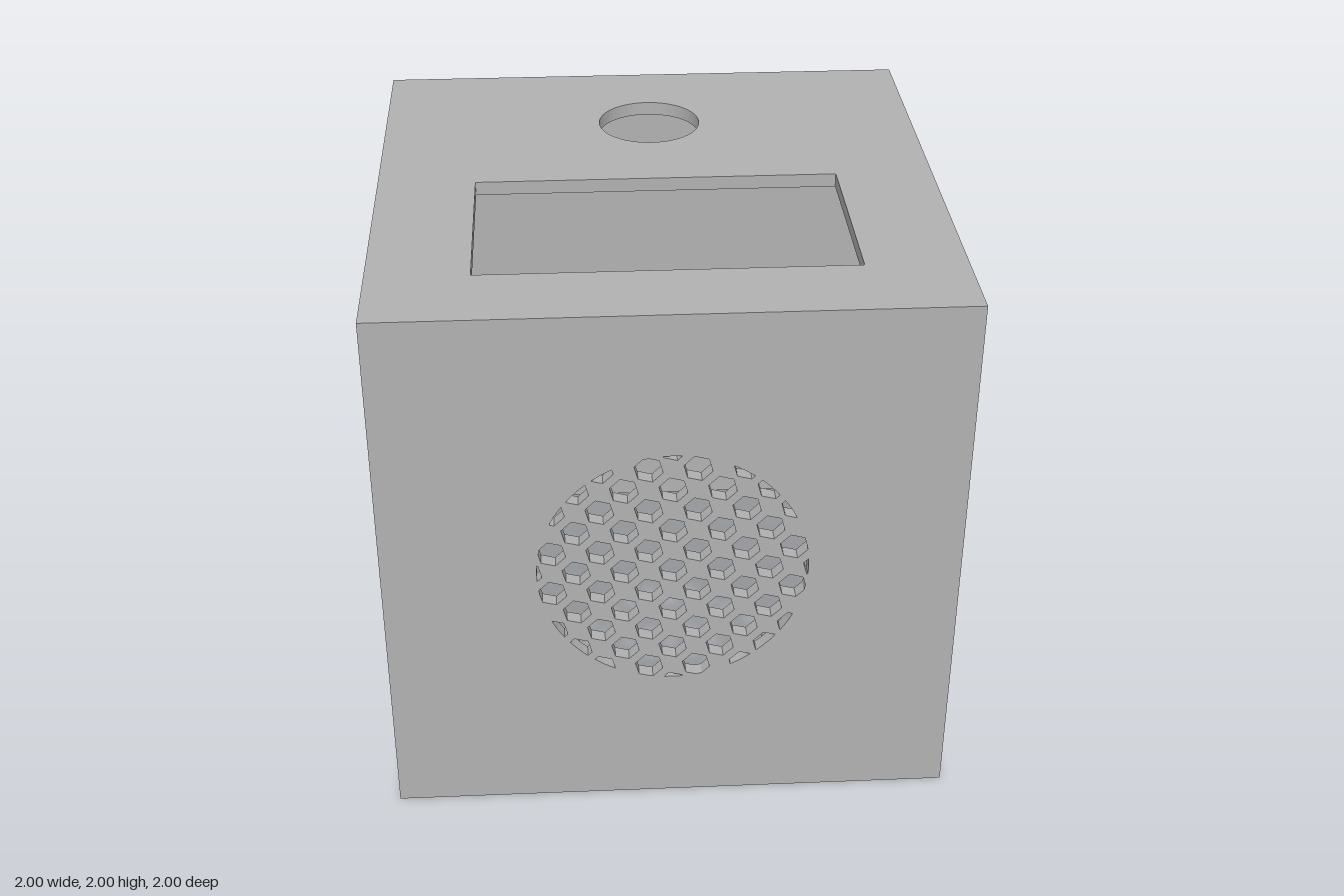
import * as THREE from 'three';

const T = 0.05; // wall thickness

const circle = (x, y, r) => new THREE.Path().absarc(x, y, r, 0, Math.PI * 2, true);
const polygon = (pts, Type = THREE.Path) => new Type(pts.map(([x, y]) => new THREE.Vector2(x, y)));
const rect = (x0, y0, x1, y1, Type) => polygon([[x0, y0], [x1, y0], [x1, y1], [x0, y1]], Type);

// Clip a convex polygon to a circle, treated as a many-sided polygon
function clipToCircle(pts, radius, sides = 64) {
  for (let i = 0; i < sides; i++) {
    const a = (i / sides) * Math.PI * 2, nx = Math.cos(a), ny = Math.sin(a);
    const dist = p => p[0] * nx + p[1] * ny - radius;
    const out = [];
    pts.forEach((p, k) => {
      const q = pts[(k + 1) % pts.length], dp = dist(p), dq = dist(q);
      if (dp <= 0) out.push(p);
      if (dp * dq < 0) {
        const s = dp / (dp - dq);
        out.push([p[0] + (q[0] - p[0]) * s, p[1] + (q[1] - p[1]) * s]);
      }
    });
    pts = out;
  }
  return pts;
}

// Hexagonal grille openings on a diagonal grid, trimmed to a round outline
function grilleHoles() {
  const step = 0.083, holes = [];
  for (let i = -7; i <= 7; i++) for (let j = -7; j <= 7; j++) {
    if ((i + j) % 2) continue;
    const hex = [];
    for (let k = 0; k < 6; k++) {
      const a = Math.PI / 4 + k * Math.PI / 3;
      hex.push([i * step + 0.05 * Math.cos(a), j * step + 0.05 * Math.sin(a)]);
    }
    const pts = clipToCircle(hex, 0.467);
    if (pts.length > 2) holes.push(polygon(pts));
  }
  return holes;
}

function extrude(shape, holes, depth) {
  shape.holes.push(...holes);
  return new THREE.ExtrudeGeometry(shape, { depth, bevelEnabled: false, curveSegments: 32 });
}

// 2 x 2 panel with its outer face at z = 1 and mitred edges
function panelGeometry(holes, mitreBottom) {
  const geo = extrude(rect(-1, -1, 1, 1, THREE.Shape), holes, T);
  const p = geo.attributes.position;
  for (let i = 0; i < p.count; i++) {
    if (p.getZ(i) > T / 2) continue;
    const x = p.getX(i), y = p.getY(i);
    if (Math.abs(x) > 0.999) p.setX(i, x * (1 - T));
    if (y > 0.999 || (mitreBottom && y < -0.999)) p.setY(i, y * (1 - T));
  }
  geo.translate(0, 0, 1 - T);
  geo.computeVertexNormals();
  return geo;
}

export function createModel() {
  const model = new THREE.Group();
  const grey = new THREE.MeshStandardMaterial({ color: 0xb2b2b2 });
  grey.name = 'grey plastic';

  const add = (name, geo, x = 0, y = 0, z = 0) => {
    const mesh = new THREE.Mesh(geo, grey);
    mesh.name = name;
    mesh.position.set(x, y, z);
    model.add(mesh);
    return mesh;
  };

  // Walls and top; the bottom stays open
  add('frontWall', panelGeometry(grilleHoles()), 0, 1, 0);
  add('backWall', panelGeometry([
    circle(-0.6, -0.342, 0.08),           // socket
    circle(-0.475, -0.342, 0.012),        // socket screws
    circle(-0.725, -0.342, 0.012),
    rect(-0.73, -0.69, -0.485, -0.535),   // switch opening
  ]), 0, 1, 0).rotation.y = Math.PI;
  add('leftWall', panelGeometry([]), 0, 1, 0).rotation.y = Math.PI / 2;
  add('rightWall', panelGeometry([]), 0, 1, 0).rotation.y = -Math.PI / 2;
  add('topPanel', panelGeometry([
    circle(0, 0.523, 0.19),
    rect(-0.65, -0.695, 0.65, 0.017),
  ], true), 0, 1, 0).rotation.x = -Math.PI / 2;

  // Speaker seat inside the front wall
  const disc = r => new THREE.Shape().absarc(0, 0, r, 0, Math.PI * 2, false);
  const seat = (name, outer, inner, depth) =>
    add(name, extrude(disc(outer), [circle(0, 0, inner)], depth), 0, 1, 1 - T - depth);
  seat('speakerRim', 0.58, 0.545, 0.035);
  seat('speakerLedge', 0.545, 0.49, 0.012);
  for (const sx of [-1, 1]) for (const sy of [-1, 1]) {
    const boss = seat('speakerScrewBoss', 0.045, 0.018, 0.05);
    boss.position.x = sx * 0.37;
    boss.position.y += sy * 0.37;
  }

  // Corner blocks that take the base screws
  const block = extrude(rect(-0.09, -0.09, 0.09, 0.09, THREE.Shape), [circle(0, 0, 0.045)], 0.1);
  block.rotateX(-Math.PI / 2);
  for (const sx of [-1, 1]) for (const sz of [-1, 1])
    add('cornerScrewBlock', block, sx * 0.86, 0.05, sz * 0.86);

  return model;
}
